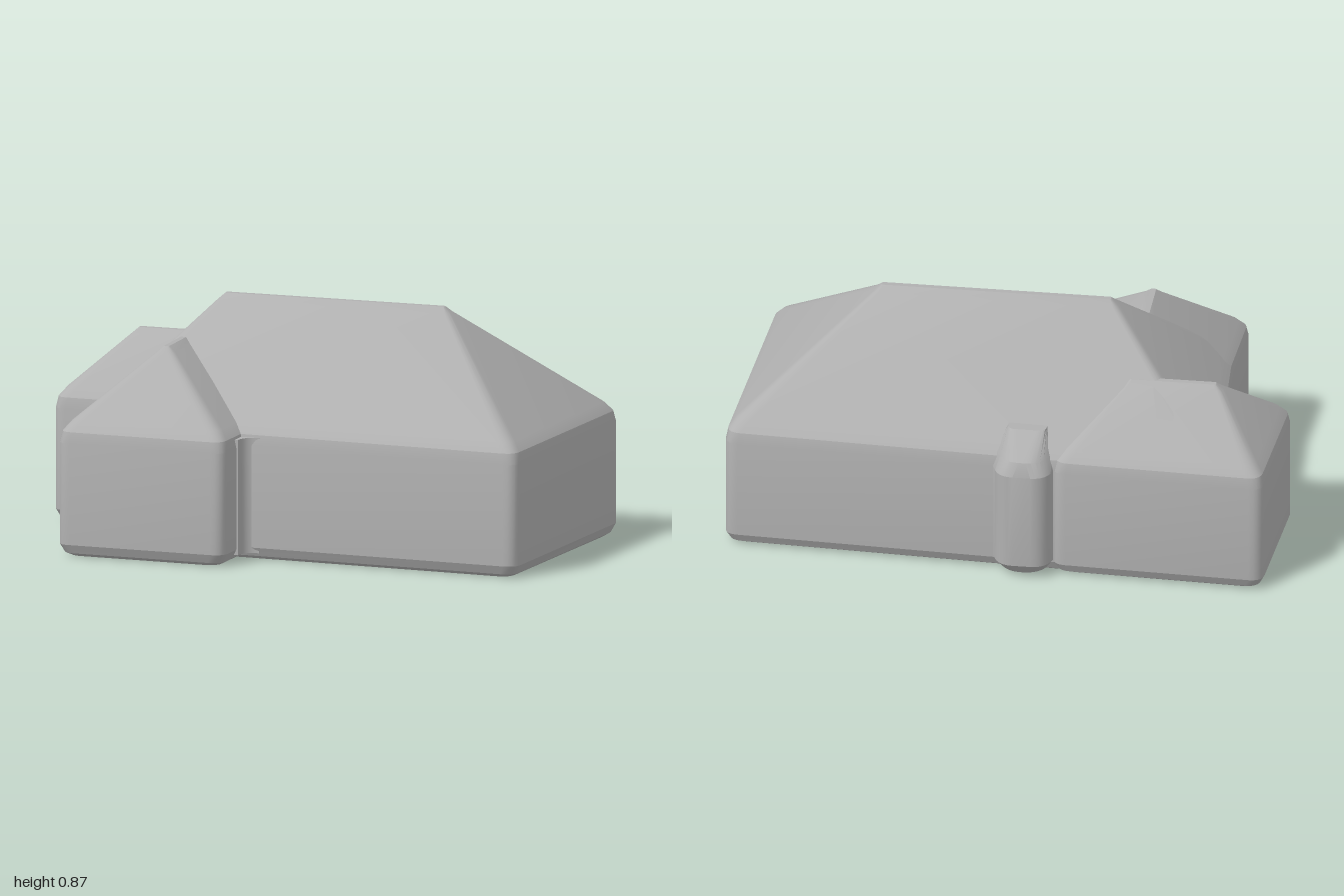
import * as THREE from 'three';
import { toCreasedNormals } from 'three/addons/utils/BufferGeometryUtils.js';

const SEG = 5;

// Rounded outline through four corners [x, z]; grow < 0 pulls corners towards the centre.
function ring(corners, y, radius, grow = 0) {
  const cx = corners.reduce((s, c) => s + c[0], 0) / 4;
  const cz = corners.reduce((s, c) => s + c[1], 0) / 4;
  const pts = corners.map(([x, z]) =>
    new THREE.Vector3(x + Math.sign(x - cx) * grow, y, z + Math.sign(z - cz) * grow));
  const out = [];
  pts.forEach((p, i) => {
    const near = (q) => {
      const d = q.clone().sub(p);
      return p.clone().addScaledVector(d.clone().normalize(), Math.min(radius, d.length() * 0.45));
    };
    const curve = new THREE.QuadraticBezierCurve3(near(pts[(i + 3) % 4]), p, near(pts[(i + 1) % 4]));
    out.push(...curve.getPoints(SEG));
  });
  return out;
}

// Closed skin over a stack of outlines, bottom to top.
function loft(rings) {
  const n = rings[0].length;
  const pos = [];
  const index = [];
  rings.forEach((r) => r.forEach((p) => pos.push(p.x, p.y, p.z)));
  for (let k = 0; k < rings.length - 1; k++) {
    for (let i = 0; i < n; i++) {
      const a = k * n + i;
      const b = k * n + (i + 1) % n;
      index.push(a, b, b + n, a, b + n, a + n);
    }
  }
  const top = (rings.length - 1) * n;
  for (let i = 1; i < n - 1; i++) {
    index.push(0, i + 1, i, top, top + i, top + i + 1);
  }
  const g = new THREE.BufferGeometry();
  g.setAttribute('position', new THREE.Float32BufferAttribute(pos, 3));
  g.setIndex(index);
  return toCreasedNormals(g, 0.4);
}

const rect = (x0, x1, z0, z1) => [[x0, z1], [x1, z1], [x1, z0], [x0, z0]];

// Walls with soft edges and a hipped roof rising to a rounded ridge.
function wingGeometry(foot, ridge, height) {
  const ridgeRing = (y, w) =>
    ring(rect(ridge[0] - w, ridge[1] + w, ridge[2] - w, ridge[3] + w), y, w * 0.7);
  return loft([
    ring(foot, 0.006, 0.05, -0.035),
    ring(foot, 0.018, 0.05, -0.015),
    ring(foot, 0.05, 0.05),
    ring(foot, 0.42, 0.05),
    ring(foot, 0.46, 0.05, -0.008),
    ring(foot, 0.495, 0.05, -0.035),
    ridgeRing(height - 0.022, 0.035),
    ridgeRing(height, 0.01),
  ]);
}

// Concave filler for an inside wall corner; sx, sz point into the open side.
function filletGeometry(r, sx, sz) {
  const s = new THREE.Shape();
  const o = 0.03;
  s.moveTo(-o * sx, o * sz);
  s.lineTo(r * sx, o * sz);
  s.lineTo(r * sx, 0);
  s.quadraticCurveTo(0, 0, 0, -r * sz);
  s.lineTo(-o * sx, -r * sz);
  const g = new THREE.ExtrudeGeometry(s, { depth: 0.42, bevelEnabled: false, curveSegments: 8 });
  g.rotateX(-Math.PI / 2);
  return toCreasedNormals(g, 0.4);
}

export function createModel() {
  const group = new THREE.Group();
  const plaster = new THREE.MeshStandardMaterial({ color: 0xb0b0b0 });
  plaster.name = 'plain grey';
  const add = (name, geometry, x = 0, y = 0, z = 0) => {
    const mesh = new THREE.Mesh(geometry, plaster);
    mesh.name = name;
    mesh.position.set(x, y, z);
    group.add(mesh);
  };

  // Main hall with the tallest ridge
  add('mainHall', wingGeometry(
    [[-0.74, 0.39], [0.935, 0.465], [0.995, -0.495], [-0.8, -0.575]],
    [-0.34, 0.47, -0.068, -0.068], 0.878));

  // Lower wing at the side
  add('sideWing', wingGeometry(
    [[-1.0, -0.035], [-0.2, -0.02], [-0.2, -0.565], [-0.965, -0.592]],
    [-0.75, -0.46, -0.3, -0.3], 0.685));

  // Wing projecting to the front
  add('frontWing', wingGeometry(
    [[-0.765, 0.59], [-0.125, 0.607], [-0.1, -0.25], [-0.725, -0.25]],
    [-0.455, -0.455, -0.02, 0.27], 0.737));

  // Soft inside corners where the wings meet
  add('sideCorner', filletGeometry(0.09, -1, 1), -0.742, 0.03, -0.037);
  add('frontCorner', filletGeometry(0.06, 1, 1), -0.115, 0.03, 0.415);

  // Rounded pier on the back wall
  const pier = [[-0.24, -0.45], [0.05, -0.45], [-0.015, -0.615], [-0.18, -0.615]];
  add('backPier', loft([
    ring(pier, 0.02, 0.05, -0.03),
    ring(pier, 0.06, 0.05),
    ring(pier, 0.42, 0.05),
    ring(pier, 0.47, 0.05, -0.02),
    ring(rect(-0.17, -0.03, -0.49, -0.42), 0.55, 0.03),
  ]));

  return group;
}
